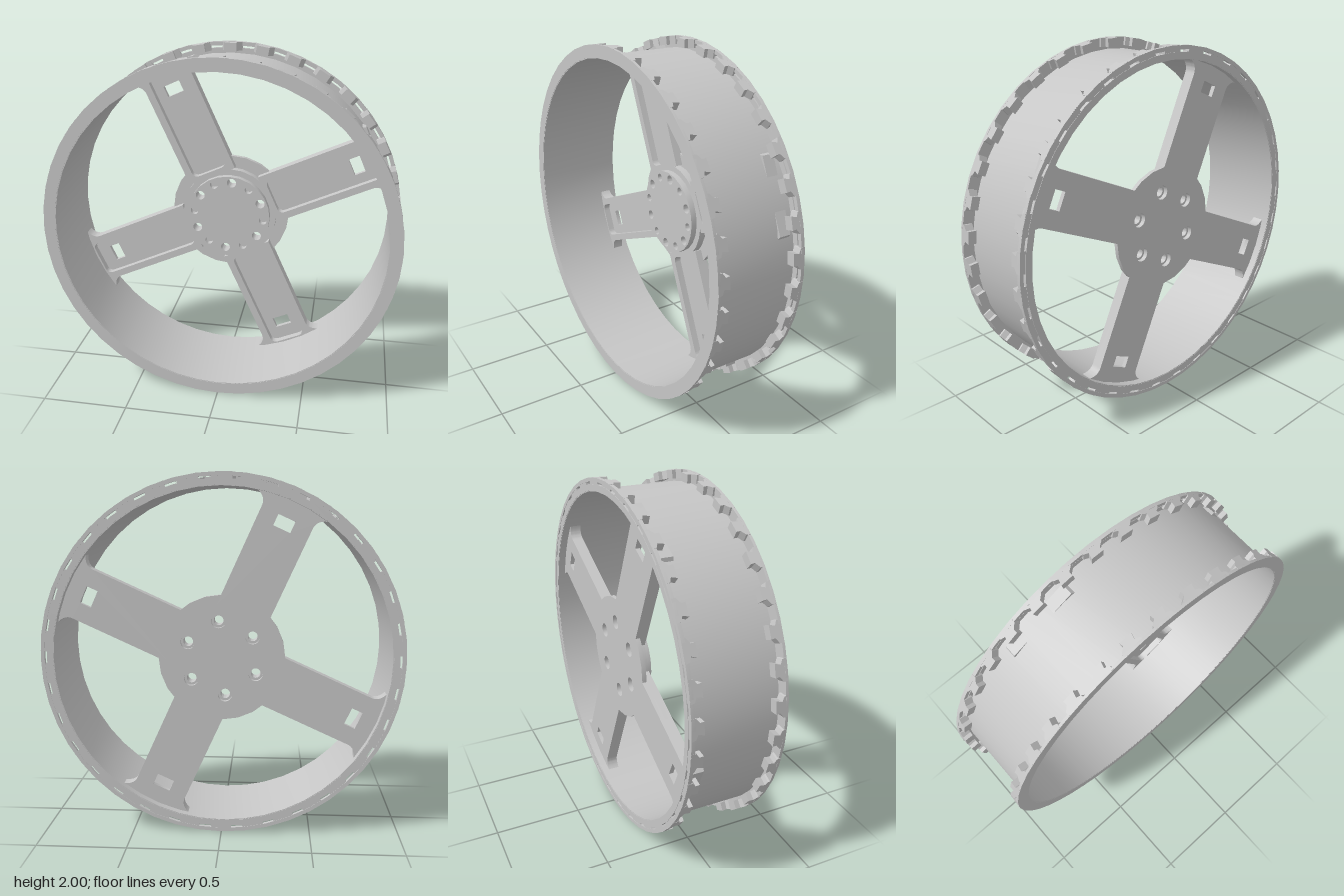
import * as THREE from 'three';
import { toCreasedNormals } from 'three/addons/utils/BufferGeometryUtils.js';

const SEGMENTS = 48;
const LUGS = 34;

export function createModel() {
  const model = new THREE.Group();
  model.name = 'wheel';
  const wheel = new THREE.Group();
  wheel.name = 'wheelAssembly';
  wheel.position.y = 1;
  model.add(wheel);
  const grey = new THREE.MeshStandardMaterial({ color: 0xc6c6c6 });
  grey.name = 'metal grey';

  function add(name, geometry, parent = wheel) {
    const mesh = new THREE.Mesh(geometry, grey);
    mesh.name = name;
    parent.add(mesh);
  }

  // Closed ring of rectangular section around the z axis
  function ring(name, r0, r1, z0, z1) {
    const profile = [[r1, z0], [r1, z1], [r0, z1], [r0, z0], [r1, z0]].map(([r, z]) => new THREE.Vector2(r, z));
    const g = new THREE.LatheGeometry(profile, SEGMENTS).rotateX(Math.PI / 2);
    add(name, toCreasedNormals(g, 0.6));
  }

  // Flat plate between two depths
  function plate(name, shape, z0, z1, parent) {
    const g = new THREE.ExtrudeGeometry(shape, { depth: z1 - z0, bevelEnabled: false, curveSegments: 12 });
    add(name, toCreasedNormals(g.translate(0, 0, z0), 0.6), parent);
  }

  function roundedRect(x0, x1, h, r) {
    const p = new THREE.Path();
    p.moveTo(x0 + r, -h);
    p.lineTo(x1 - r, -h);
    p.quadraticCurveTo(x1, -h, x1, -h + r);
    p.lineTo(x1, h - r);
    p.quadraticCurveTo(x1, h, x1 - r, h);
    p.lineTo(x0 + r, h);
    p.quadraticCurveTo(x0, h, x0, h - r);
    p.lineTo(x0, -h + r);
    p.quadraticCurveTo(x0, -h, x0 + r, -h);
    return p;
  }

  // Spoke outline; the flared, filleted end pokes through the barrel at its corners
  function spokeShape(hole) {
    const s = new THREE.Shape();
    s.moveTo(0.25, -0.148);
    s.lineTo(0.84, -0.148);
    s.quadraticCurveTo(0.89, -0.148, 0.908, -0.212);
    s.lineTo(0.931, -0.2);
    s.lineTo(0.931, 0.2);
    s.lineTo(0.908, 0.212);
    s.quadraticCurveTo(0.89, 0.148, 0.84, 0.148);
    s.lineTo(0.25, 0.148);
    s.closePath();
    s.holes.push(hole);
    return s;
  }

  // Disc with circles of bolt holes: [first angle, radius]
  function hubShape(radius, circles) {
    const s = new THREE.Shape();
    s.absarc(0, 0, radius, 0, Math.PI * 2, false);
    for (const [start, r] of circles) {
      for (let i = 0; i < 6; i++) {
        const a = THREE.MathUtils.degToRad(start + i * 60);
        const h = new THREE.Path();
        h.absarc(0.207 * Math.cos(a), 0.207 * Math.sin(a), r, 0, Math.PI * 2, true);
        s.holes.push(h);
      }
    }
    return s;
  }

  // Barrel and flanges; the rear flange is split by narrow open slots
  ring('barrel', 0.928, 0.936, -0.258, 0.258);
  ring('frontFlange', 0.932, 1, 0.245, 0.26);
  ring('rearInnerFlange', 0.932, 0.966, -0.26, -0.245);
  ring('rearOuterFlange', 0.979, 1, -0.26, -0.24);

  // Slanted lugs behind each flange, also bridging the rear slots
  const lug = new THREE.Shape([
    [-0.06, 0.258], [-0.055, 0.235], [-0.03, 0.225], [-0.04, 0.192],
    [0.03, 0.192], [0.028, 0.215], [0.055, 0.235], [0.055, 0.258],
  ].map(([x, y]) => new THREE.Vector2(x, y)));
  const lugGeometry = new THREE.ExtrudeGeometry(lug, { depth: 0.047, bevelEnabled: false });
  for (const side of [1, -1]) {
    const lugs = new THREE.Group();
    lugs.name = side > 0 ? 'frontLugs' : 'rearLugs';
    wheel.add(lugs);
    for (let i = 0; i < LUGS; i++) {
      const a = ((i + 0.5) * Math.PI * 2) / LUGS;
      const radial = new THREE.Vector3(Math.cos(a), Math.sin(a), 0);
      const tangent = new THREE.Vector3(-Math.sin(a) * side, Math.cos(a) * side, 0);
      const m = new THREE.Matrix4().makeBasis(tangent, new THREE.Vector3(0, 0, side), radial);
      m.setPosition(radial.clone().multiplyScalar(0.951));
      add('lug', lugGeometry.clone().applyMatrix4(m), lugs);
    }
  }

  // Four pocketed spokes with a slot near the rim
  for (let i = 0; i < 4; i++) {
    const spoke = new THREE.Group();
    spoke.name = 'spoke';
    spoke.rotation.z = THREE.MathUtils.degToRad(24.5 + i * 90);
    wheel.add(spoke);
    plate('spokeBack', spokeShape(roundedRect(0.77, 0.835, 0.05, 0.002)), -0.215, -0.19, spoke);
    plate('spokeFrame', spokeShape(roundedRect(0.28, 0.915, 0.107, 0.04)), -0.19, -0.15, spoke);
  }

  // Stepped hub: counterbored back, middle step, front cap
  plate('hubBack', hubShape(0.35, [[25, 0.04]]), -0.215, -0.19);
  plate('hubStep', hubShape(0.28, [[25, 0.027]]), -0.19, -0.15);
  plate('hubCap', hubShape(0.245, [[25, 0.027], [55, 0.023]]), -0.15, -0.115);

  return model;
}
